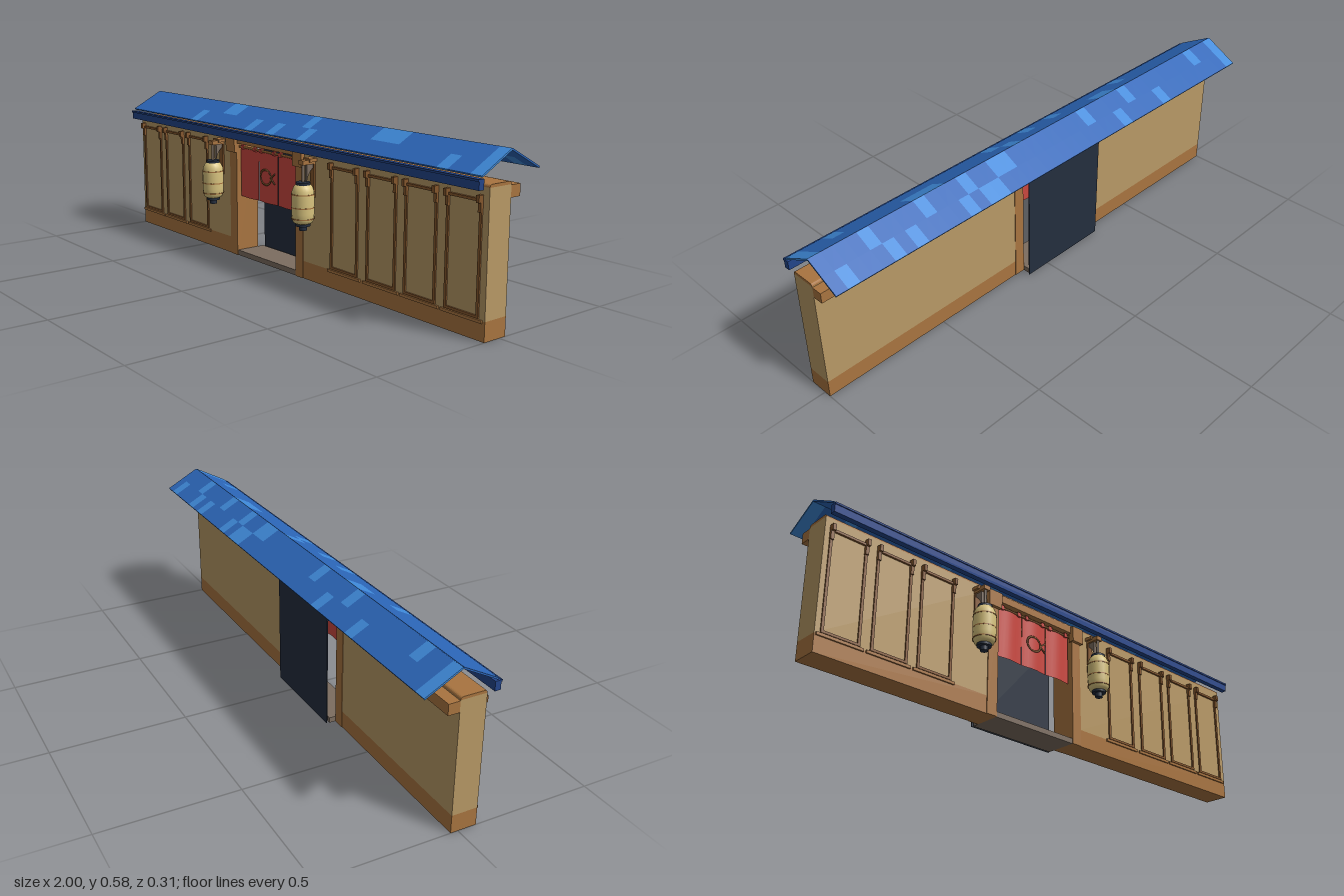
import * as THREE from 'three';
import { mergeGeometries } from 'three/addons/utils/BufferGeometryUtils.js';

const mat = (name, color, side = THREE.FrontSide) => {
  const m = new THREE.MeshStandardMaterial({ color, side });
  m.name = name;
  return m;
};

export function createModel() {
  const tan = mat('plaster tan', 0xb89966);
  const brown = mat('timber brown', 0xa87440);
  const darkBrown = mat('dark timber', 0x84562c);
  const navy = mat('dark navy', 0x242e3e);
  const red = mat('curtain red', 0xcc4840, THREE.DoubleSide);
  const cream = mat('lantern cream', 0xd8c37e);
  const stone = mat('stone grey', 0x7c6d60);
  const blue = mat('tile blue', 0x2c66b8);
  const lightBlue = mat('tile light blue', 0x3f8ada);
  const deepBlue = mat('eave deep blue', 0x23458a);

  const root = new THREE.Group();
  root.name = 'gateWall';
  const add = (name, geo, material, parent = root) => {
    const m = new THREE.Mesh(geo, material);
    m.name = name;
    parent.add(m);
    return m;
  };
  // box given by its min and max on each axis
  const box = (name, x0, x1, y0, y1, z0, z1, material, parent) => {
    const m = add(name, new THREE.BoxGeometry(x1 - x0, y1 - y0, z1 - z0), material, parent);
    m.position.set((x0 + x1) / 2, (y0 + y1) / 2, (z0 + z1) / 2);
    return m;
  };
  const group = (name, x = 0, y = 0, z = 0) => {
    const g = new THREE.Group();
    g.name = name;
    g.position.set(x, y, z);
    root.add(g);
    return g;
  };

  const back = -0.027, front = 0.067;
  const doorL = -0.275, doorR = 0.093;

  // two wall halves with a flush timber base
  for (const [x0, x1] of [[-1, -0.32], [0.135, 1]]) {
    box('wall', x0, x1, 0.065, 0.472, back, front, tan);
    box('wallBase', x0, x1, 0, 0.065, back, front, brown);
  }

  // rounded cap along the wall top
  const cap = new THREE.Shape();
  cap.moveTo(back, 0.472);
  cap.lineTo(front, 0.472);
  cap.quadraticCurveTo(front, 0.482, front - 0.01, 0.482);
  cap.lineTo(back + 0.01, 0.482);
  cap.quadraticCurveTo(back, 0.482, back, 0.472);
  const capGeo = new THREE.ExtrudeGeometry(cap, { depth: 2, bevelEnabled: false, curveSegments: 4 });
  capGeo.rotateY(-Math.PI / 2);   // shape x becomes z
  capGeo.translate(1, 0, 0);
  add('wallCap', capGeo, brown);

  // back rail in butted lengths
  for (let i = 0; i < 10; i++) {
    box('backRail', -1 + i * 0.2, -0.8 + i * 0.2, 0.431, 0.47, -0.068, back, brown);
  }

  // doorway: posts, capitals, header, sill and sliding door
  box('doorPost', -0.32, doorL, 0, 0.472, back - 0.002, front + 0.003, brown);
  box('doorPost', doorR, 0.135, 0, 0.472, back - 0.002, front + 0.003, brown);
  box('postCapital', -0.33, -0.272, 0.41, 0.47, 0.06, 0.083, brown);
  box('postCapital', 0.088, 0.14, 0.41, 0.47, 0.06, 0.083, brown);
  box('doorHeader', doorL, doorR, 0.445, 0.472, back, front + 0.003, brown);
  box('sill', doorL, doorR, 0, 0.02, -0.053, front, stone);
  box('slidingDoor', doorL, 0.1, 0.002, 0.431, -0.066, -0.062, navy);

  // three-part curtain on a rod, each cloth with a gentle fold
  const curtain = group('curtain', 0, 0, 0.057);
  const rod = add('curtainRod', new THREE.CylinderGeometry(0.005, 0.005, doorR - doorL, 8), darkBrown, curtain);
  rod.rotation.z = Math.PI / 2;
  rod.position.set((doorL + doorR) / 2, 0.432, 0);
  for (let i = 0; i < 3; i++) {
    const g = new THREE.PlaneGeometry(0.117, 0.195, 8, 1);
    const p = g.attributes.position;
    for (let j = 0; j < p.count; j++) {
      p.setZ(j, 0.003 * Math.cos(p.getX(j) * 54));
    }
    g.computeVertexNormals();
    add('curtainCloth', g, red, curtain).position.set(-0.21 + i * 0.119, 0.335, 0);
    for (const dx of [-0.04, 0.04]) {
      const x = -0.21 + i * 0.119 + dx;
      box('curtainLoop', x - 0.007, x + 0.007, 0.424, 0.44, -0.006, 0.006, red, curtain);
    }
  }
  // simple fish ornament: oval ring and an open tail
  const oval = add('fishBody', new THREE.TorusGeometry(0.03, 0.004, 4, 20), darkBrown, curtain);
  oval.scale.set(1.1, 0.95, 0.5);
  oval.position.set(-0.097, 0.337, 0.006);
  for (const s of [-1, 1]) {
    const tail = add('fishTail', new THREE.BoxGeometry(0.03, 0.005, 0.004), darkBrown, curtain);
    tail.position.set(-0.053, 0.337 + s * 0.01, 0.006);
    tail.rotation.z = s * 0.7;
  }

  // thin panel frames on the front, with hook brackets holding a top rod
  const frames = [-0.91, -0.73, -0.55, 0.36, 0.545, 0.725, 0.905];
  for (const x of frames) {
    const f = group('panelFrame', x, 0, 0);
    for (const s of [-1, 1]) {
      const e = s * 0.066;
      box('frameStile', e - 0.005, e + 0.005, 0.072, 0.43, front, 0.072, darkBrown, f);
      box('hookBracket', e - 0.006, e + 0.006, 0.395, 0.448, front, 0.077, darkBrown, f);
      box('hookTip', e - 0.006, e + 0.006, 0.425, 0.448, 0.077, 0.086, darkBrown, f);
    }
    box('frameBottom', -0.071, 0.071, 0.07, 0.079, front, 0.072, darkBrown, f);
    box('frameTop', -0.071, 0.071, 0.427, 0.436, front, 0.075, darkBrown, f);
    box('baseTrim', -0.085, 0.085, 0.058, 0.068, front, 0.073, brown, f);
  }

  // hanging lanterns on curved wall brackets
  const bodyProfile = [[0.026, 0.222], [0.034, 0.226], [0.039, 0.238], [0.041, 0.26],
    [0.041, 0.32], [0.039, 0.34], [0.033, 0.354], [0.026, 0.361]].map(([r, y]) => new THREE.Vector2(r, y));
  const brace = new THREE.Shape();
  brace.moveTo(0.067, 0.431);
  brace.lineTo(0.1, 0.431);
  brace.lineTo(0.1, 0.37);
  brace.quadraticCurveTo(0.095, 0.405, 0.067, 0.42);
  for (const x of [-0.377, 0.19]) {
    const l = group('lantern', x, 0, 0);
    const round = (name, r, y0, y1, material) => {
      const m = add(name, new THREE.CylinderGeometry(r, r, y1 - y0, 16), material, l);
      m.position.set(0, (y0 + y1) / 2, 0.113);
    };
    add('lanternBody', new THREE.LatheGeometry(bodyProfile, 20), cream, l).position.z = 0.113;
    for (const y of [0.241, 0.281, 0.328]) round('lanternBand', 0.0418, y - 0.002, y + 0.002, brown);
    round('lanternTop', 0.026, 0.359, 0.37, navy);
    round('lanternBottom', 0.026, 0.213, 0.224, navy);
    round('lanternTassel', 0.014, 0.197, 0.214, navy);
    round('lanternStem', 0.005, 0.37, 0.432, stone);
    box('bracketArm', -0.013, 0.013, 0.431, 0.447, front, 0.123, brown, l);
    box('bracketPad', -0.02, 0.02, 0.44, 0.452, front, 0.097, brown, l);
    box('bracketPlate', -0.012, 0.012, 0.31, 0.431, front, 0.073, darkBrown, l);
    const b = new THREE.ExtrudeGeometry(brace, { depth: 0.012, bevelEnabled: false });
    b.rotateY(-Math.PI / 2);
    b.translate(0.006, 0, 0);
    add('bracketBrace', b, stone, l);
  }

  // front eave beam with a slim lip
  box('eaveBeam', -1, 1, 0.469, 0.502, 0.093, 0.114, deepBlue);
  box('eaveLip', -1, 1, 0.496, 0.503, 0.114, 0.118, deepBlue);

  // gabled tile roof: two rows a side, in mixed blues
  let seed = 11;
  const rand = () => (seed = (seed * 16807) % 2147483647) / 2147483647;
  const cols = 44, w = 2 / cols, ridgeY = 0.577, ridgeZ = -0.025;
  const drop = 0.068, run = 0.1275, len = Math.hypot(drop, run), tilt = Math.atan2(drop, run);
  const tiles = [[], []];
  for (const s of [-1, 1]) {
    for (let row = 0; row < 2; row++) {
      for (let c = 0; c < cols; c++) {
        const t = (row + 0.5) / 2;
        const g = new THREE.BoxGeometry(w, 0.006, len / 2);
        g.rotateX(s * tilt);
        g.translate(-1 + (c + 0.5) * w, ridgeY - drop * t, ridgeZ + s * run * t);
        tiles[rand() < 0.2 ? 1 : 0].push(g);
      }
    }
  }
  add('roofTiles', mergeGeometries(tiles[0]), blue);
  add('lightRoofTiles', mergeGeometries(tiles[1]), lightBlue);

  return root;
}
